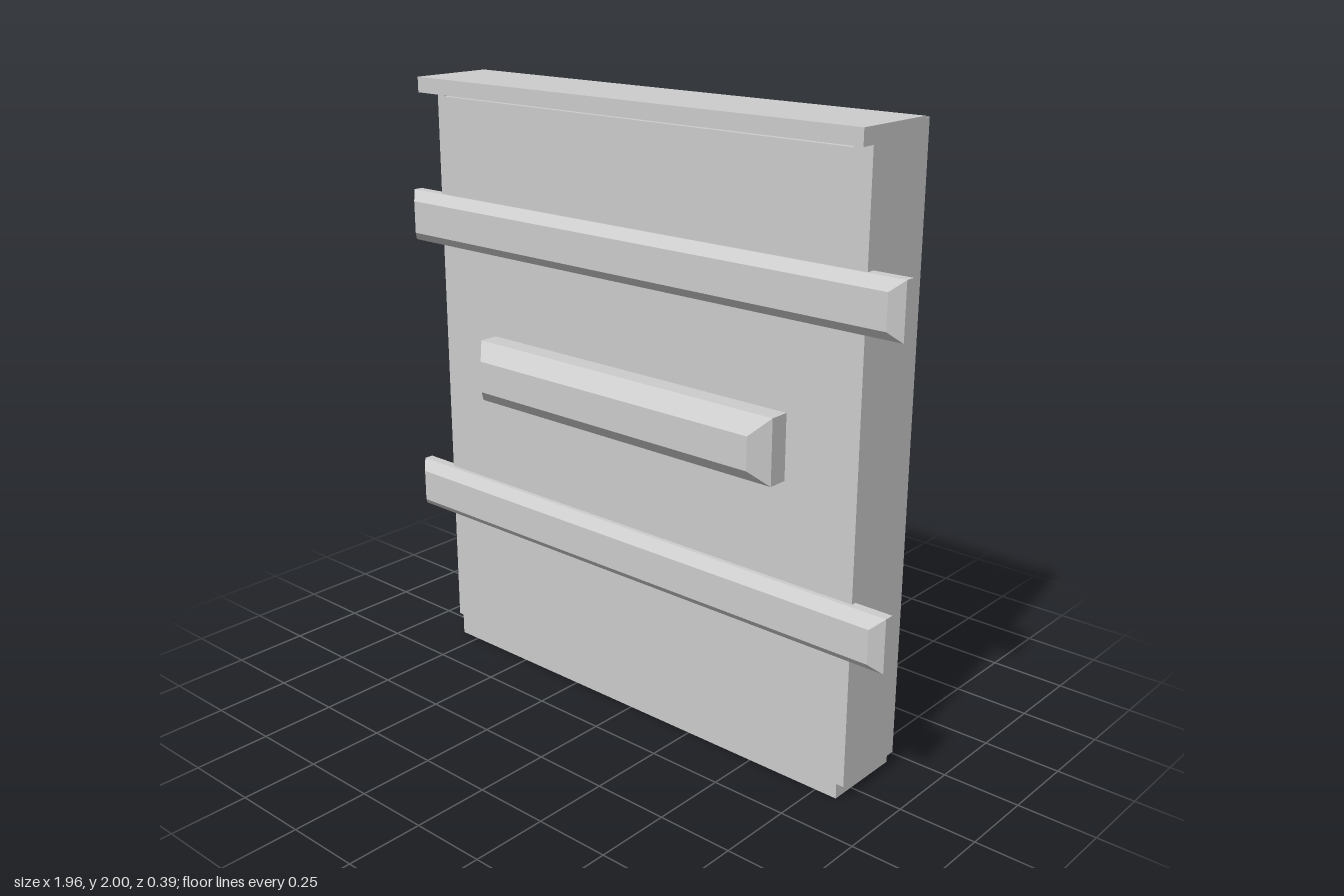
import * as THREE from 'three';

const material = new THREE.MeshStandardMaterial({ color: 0xcccccc, flatShading: true });

function add(group, name, geometry) {
  const mesh = new THREE.Mesh(geometry, material);
  mesh.name = name;
  group.add(mesh);
  return mesh;
}

// Box given by its limits on each axis
function block(x0, x1, y0, y1, z0, z1) {
  return new THREE.BoxGeometry(x1 - x0, y1 - y0, z1 - z0)
    .translate((x0 + x1) / 2, (y0 + y1) / 2, (z0 + z1) / 2);
}

// Bar whose front edges are chamfered: rectangles [x0, x1, y0, y1, z] joined from back to front
function chamferedBar(rings) {
  const pos = [], index = [];
  for (const [x0, x1, y0, y1, z] of rings) {
    pos.push(x0, y0, z, x1, y0, z, x1, y1, z, x0, y1, z);
  }
  for (let r = 0; r < rings.length - 1; r++) {
    for (let i = 0; i < 4; i++) {
      const a = r * 4 + i, b = r * 4 + (i + 1) % 4;
      index.push(a, b, b + 4, a, b + 4, a + 4);
    }
  }
  const f = (rings.length - 1) * 4;
  index.push(0, 2, 1, 0, 3, 2, f, f + 1, f + 2, f, f + 2, f + 3);
  const g = new THREE.BufferGeometry();
  g.setAttribute('position', new THREE.Float32BufferAttribute(pos, 3));
  g.setIndex(index);
  const flat = g.toNonIndexed();
  flat.computeVertexNormals();
  return flat;
}

export function createModel() {
  const door = new THREE.Group();
  door.name = 'door';

  // Main slab and overhanging top board, with a thin gap between them
  add(door, 'panel', block(-0.825, 0.825, 0, 1.938, -0.195, 0.08));
  add(door, 'topCap', block(-0.885, 0.85, 1.95, 2, -0.165, 0.127));

  // Side boards
  add(door, 'leftSideBoard', block(0.79, 0.85, 0.05, 1.995, -0.185, 0.08));
  const right = block(-0.875, -0.815, 0.07, 1.995, -0.185, 0.079);
  const p = right.attributes.position;
  // The right board's outer face narrows towards the front
  for (let i = 0; i < p.count; i++) {
    if (p.getX(i) < -0.85 && p.getZ(i) > 0) p.setX(i, -0.845);
  }
  right.computeVertexNormals();
  add(door, 'rightSideBoard', right);

  // Two long cross bars
  for (const [name, y, z] of [['lowerBar', 0.475, 0.063], ['upperBar', 1.443, 0.052]]) {
    add(door, name, chamferedBar([
      [-0.98, 0.975, y, y + 0.172, z],
      [-0.98, 0.975, y, y + 0.172, z + 0.032],
      [-0.945, 0.94, y + 0.032, y + 0.14, z + 0.065],
    ]));
  }

  // Raised centre handle
  add(door, 'centreHandle', chamferedBar([
    [-0.603, 0.6, 0.96, 1.167, 0.07],
    [-0.603, 0.6, 0.96, 1.167, 0.145],
    [-0.553, 0.55, 1.01, 1.115, 0.197],
  ]));

  return door;
}
